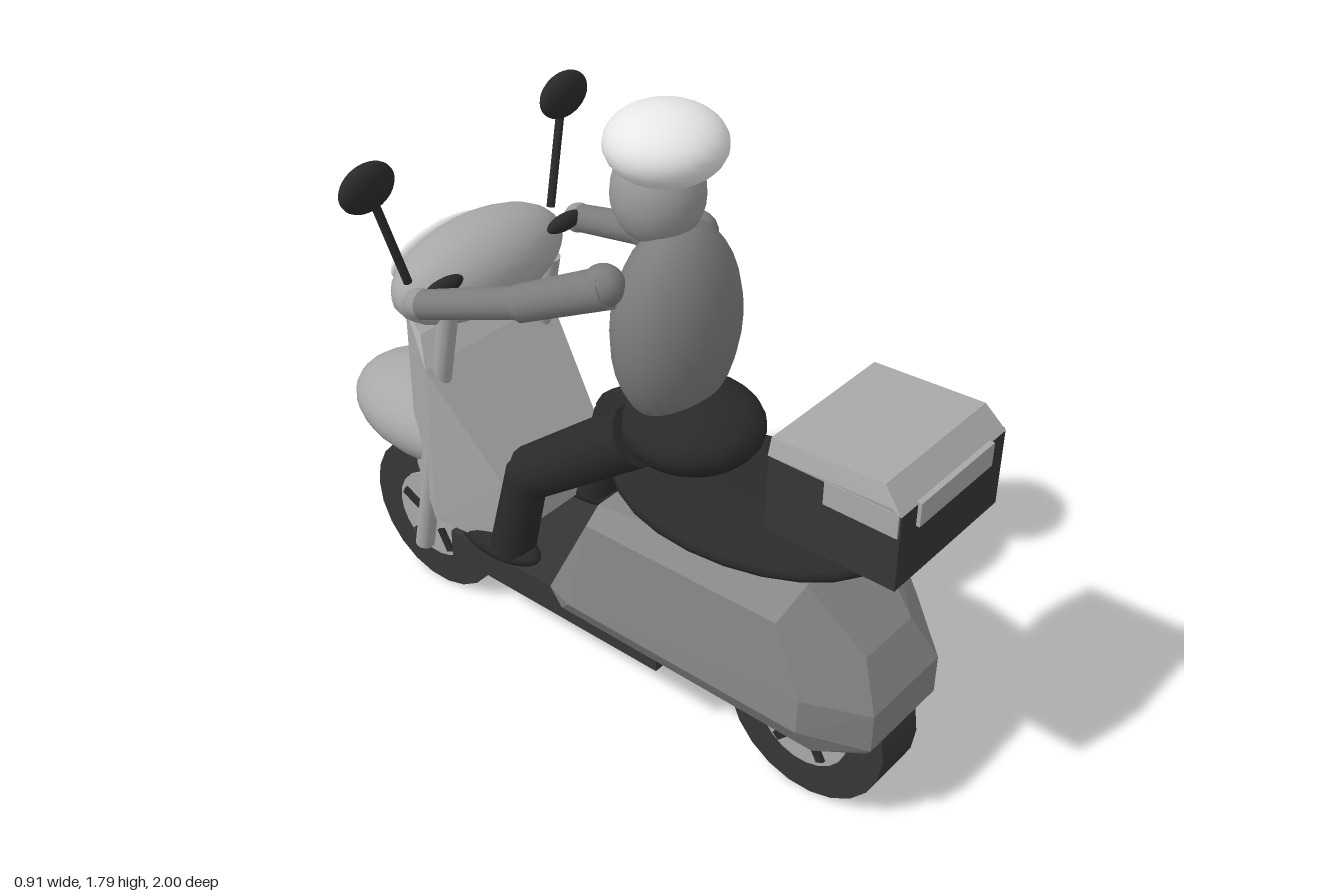
import * as THREE from 'three';
import { ConvexGeometry } from 'three/addons/geometries/ConvexGeometry.js';

const mat = (name, color) => {
  const m = new THREE.MeshStandardMaterial({ color });
  m.name = name;
  return m;
};

export function createModel() {
  const g = new THREE.Group();
  g.name = 'scooterWithRider';
  const white = mat('white', 0xececec);
  const paleGrey = mat('paleGrey', 0xa8a8a8);
  const bodyGrey = mat('bodyGrey', 0x868686);
  const shirtGrey = mat('shirtGrey', 0x7c7c7c);
  const skin = mat('skin', 0x999999);
  const rubber = mat('rubber', 0x363636);
  const black = mat('black', 0x2a2a2a);

  const add = (name, geo, m, x = 0, y = 0, z = 0, parent = g) => {
    const mesh = new THREE.Mesh(geo, m);
    mesh.name = name;
    mesh.position.set(x, y, z);
    parent.add(mesh);
    return mesh;
  };
  const ball = (name, m, pos, rad) => {
    const geo = new THREE.SphereGeometry(1, 24, 16).scale(...rad);
    return add(name, geo, m, ...pos);
  };
  const box = (name, m, x0, x1, y0, y1, z0, z1) => add(name,
    new THREE.BoxGeometry(x1 - x0, y1 - y0, z1 - z0), m, (x0 + x1) / 2, (y0 + y1) / 2, (z0 + z1) / 2);
  // Tapered rod between two points
  const rod = (name, m, a, b, ra, rb = ra) => {
    const p = new THREE.Vector3(...a), q = new THREE.Vector3(...b);
    const d = q.clone().sub(p);
    const mesh = add(name, new THREE.CylinderGeometry(rb, ra, d.length(), 14), m,
      ...p.clone().add(q).multiplyScalar(0.5).toArray());
    mesh.quaternion.setFromUnitVectors(new THREE.Vector3(0, 1, 0), d.normalize());
    return mesh;
  };
  // Faceted panel from corner points mirrored across x
  const hull = (name, m, pts) => add(name, new ConvexGeometry(
    pts.flatMap(([x, y, z]) => [new THREE.Vector3(x, y, z), new THREE.Vector3(-x, y, z)])), m);

  // Wheels with rim and five raised spokes on each side
  for (const [name, z] of [['frontWheel', -0.68], ['rearWheel', 0.68]]) {
    const wheel = new THREE.Group();
    wheel.name = name;
    wheel.position.set(0, 0.245, z);
    g.add(wheel);
    add('tyre', new THREE.CylinderGeometry(0.245, 0.245, 0.155, 22).rotateZ(Math.PI / 2), rubber, 0, 0, 0, wheel);
    add('rim', new THREE.CylinderGeometry(0.14, 0.14, 0.17, 22).rotateZ(Math.PI / 2), paleGrey, 0, 0, 0, wheel);
    for (let i = 0; i < 5; i++) {
      const a = Math.PI / 2 + i * Math.PI * 0.4;
      const spoke = add('spoke', new THREE.BoxGeometry(0.19, 0.025, 0.075), black,
        0, 0.085 * Math.sin(a), -0.085 * Math.cos(a), wheel);
      spoke.rotation.x = a + 0.12;
    }
  }

  // Rear body, shield, footboard and mudguard
  hull('rearBody', bodyGrey, [
    [0.1, 0.575, 0.86], [0.145, 0.45, 0.925], [0.145, 0.335, 0.925], [0.14, 0.315, 0.91],
    [0.14, 0.745, 0.7], [0.25, 0.69, 0.69], [0.265, 0.5, 0.78], [0.27, 0.4, 0.78], [0.22, 0.315, 0.8],
    [0.2, 0.72, 0.08], [0.25, 0.68, 0.08], [0.27, 0.4, 0.03], [0.22, 0.32, -0.04], [0.2, 0.35, -0.1],
  ]);
  hull('legShield', paleGrey, [
    [0.17, 1.02, -0.64], [0.17, 0.5, -0.64], [0.2, 0.985, -0.555],
    [0.25, 0.92, -0.49], [0.25, 0.42, -0.49], [0.2, 0.62, -0.27], [0.2, 0.39, -0.29],
  ]);
  box('footboard', rubber, -0.2, 0.2, 0.26, 0.35, -0.485, 0.28);
  ball('frontMudguard', paleGrey, [0, 0.595, -0.68], [0.213, 0.135, 0.32]);

  // Handlebar housing and lamp
  ball('handlebarHousing', paleGrey, [0, 1.135, -0.52], [0.3, 0.133, 0.145]);
  ball('headlamp', white, [0, 1.14, -0.66], [0.195, 0.075, 0.025]);

  // Seat
  ball('seat', black, [0, 0.79, 0.42], [0.26, 0.07, 0.41]).rotation.x = -0.02;

  // Luggage box with chamfered lid and overlapping lips
  box('luggageBox', rubber, -0.22, 0.22, 0.93, 1.14, 0.62, 0.985);
  hull('luggageLid', paleGrey, [
    [0.222, 1.14, 0.985], [0.222, 1.14, 0.62], [0.21, 1.2, 0.93], [0.21, 1.185, 0.62],
    [0.224, 1.155, 0.96],
  ]);
  box('rearLip', paleGrey, -0.155, 0.155, 1.08, 1.145, 0.98, 0.995);

  // Rider's trunk and head
  ball('hips', black, [0, 0.94, 0.225], [0.19, 0.105, 0.195]);
  ball('torso', shirtGrey, [0, 1.22, 0.17], [0.2, 0.28, 0.142]);
  ball('head', skin, [0, 1.56, 0.105], [0.117, 0.135, 0.12]);
  ball('helmet', white, [0, 1.695, 0.127], [0.153, 0.097, 0.153]);

  // Paired parts
  for (const s of [-1, 1]) {
    const side = s > 0 ? 'left' : 'right';
    box(side + 'LidLip', paleGrey, s * 0.221 - 0.004, s * 0.221 + 0.004, 1.08, 1.145, 0.78, 0.98);
    rod(side + 'Fork', paleGrey, [s * 0.2, 0.25, -0.6], [s * 0.2, 1.1, -0.44], 0.028);
    ball(side + 'Grip', black, [s * 0.235, 1.2, -0.415], [0.07, 0.025, 0.022]);
    rod(side + 'MirrorStem', black, [s * 0.275, 1.2, -0.505], [s * 0.355, 1.48, -0.53], 0.012);
    ball(side + 'Mirror', black, [s * 0.365, 1.5, -0.53], [0.09, 0.066, 0.034]);

    ball(side + 'Shoulder', shirtGrey, [s * 0.18, 1.37, 0.085], [0.055, 0.055, 0.055]);
    rod(side + 'UpperArm', shirtGrey, [s * 0.18, 1.37, 0.1], [s * 0.245, 1.265, -0.135], 0.055, 0.05);
    rod(side + 'Forearm', shirtGrey, [s * 0.24, 1.275, -0.11], [s * 0.308, 1.18, -0.42], 0.044, 0.04);
    ball(side + 'Hand', skin, [s * 0.308, 1.178, -0.43], [0.042, 0.042, 0.042]);

    rod(side + 'Thigh', black, [s * 0.12, 0.925, 0.14], [s * 0.18, 0.69, -0.18], 0.085, 0.075);
    rod(side + 'Shin', black, [s * 0.18, 0.69, -0.19], [s * 0.18, 0.41, -0.255], 0.06, 0.065);
    ball(side + 'Shoe', black, [s * 0.18, 0.395, -0.305], [0.06, 0.045, 0.145]);
  }
  return g;
}
